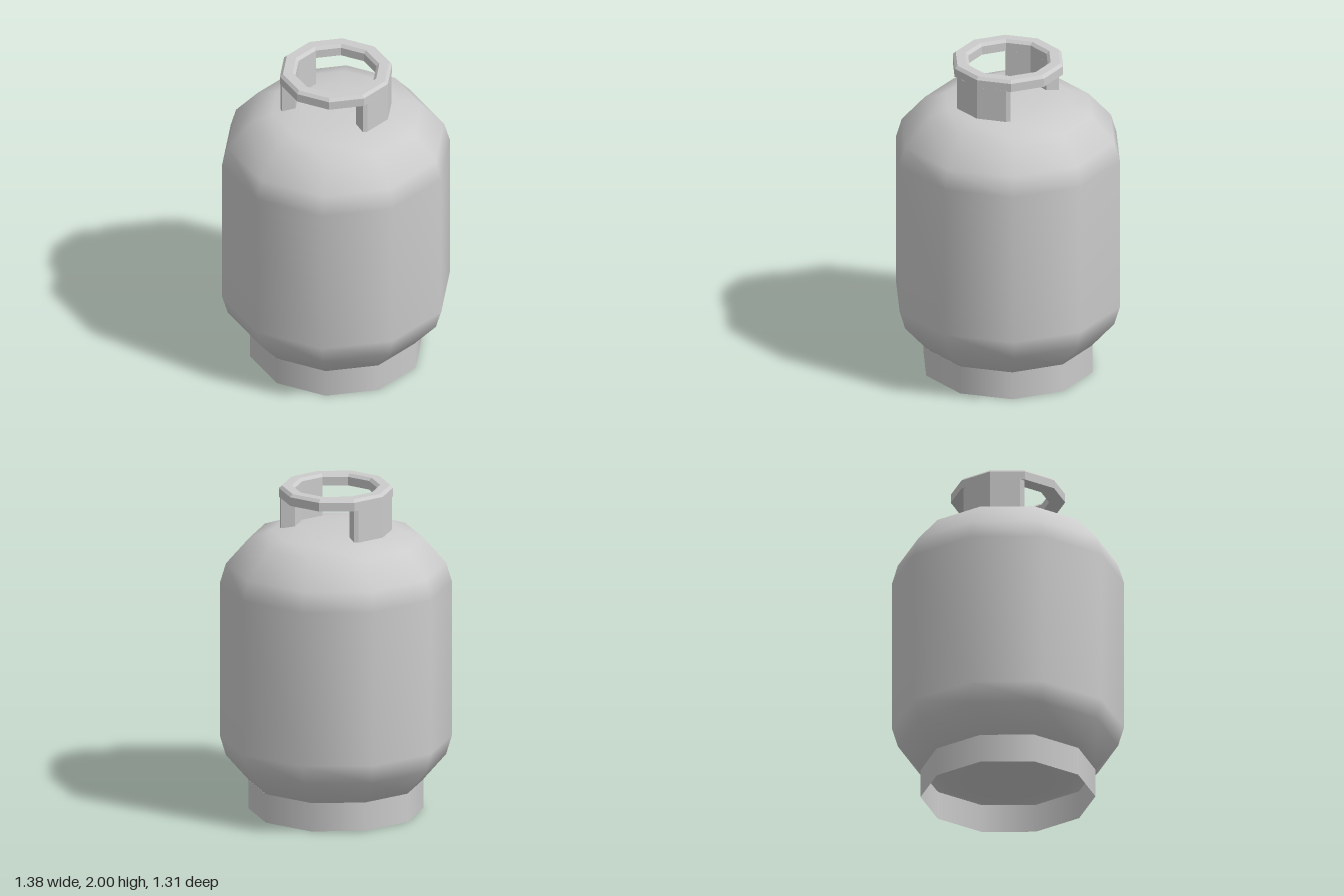
import * as THREE from 'three';

const SIDES = 10;
const smooth = new THREE.MeshStandardMaterial({ color: 0xcccccc });
const flat = new THREE.MeshStandardMaterial({ color: 0xcccccc, flatShading: true });
const open = new THREE.MeshStandardMaterial({ color: 0xcccccc, side: THREE.DoubleSide });

// Ten-sided turned part with corners on the x axis
function turned(name, profile, material) {
  const points = profile.map(([r, y]) => new THREE.Vector2(r, y));
  const geometry = new THREE.LatheGeometry(points, SIDES, Math.PI / 2);
  const mesh = new THREE.Mesh(geometry, material);
  mesh.name = name;
  return mesh;
}

export function createModel() {
  const group = new THREE.Group();
  group.name = 'gasCylinder';

  // Tank: one domed end, mirrored for the top and bottom
  const dome = [[0, 1.75], [0.21, 1.75], [0.385, 1.725], [0.515, 1.677], [0.655, 1.518], [0.69, 1.4]];
  const bottom = dome.map(([r, y]) => [r, 1.85 - y]);
  group.add(turned('tank', [...bottom, ...dome.slice().reverse()], smooth));

  // Open foot skirt
  group.add(turned('footRing', [[0.52, 0], [0.52, 0.176]], open));

  // Handle ring with chamfered upper edges
  group.add(turned('handleRing', [
    [0.245, 1.93], [0.34, 1.93], [0.34, 1.983], [0.322, 2],
    [0.263, 2], [0.245, 1.983], [0.245, 1.93],
  ], flat));

  // Two angled handle supports with chamfered outer ends
  const half = [[0.285, 0.172], [0.265, 0.191], [0.198, 0.144]];
  const outline = [
    [0.34, 0], ...half, [0.245, 0],
    ...half.slice().reverse().map(([x, z]) => [x, -z]),
  ];
  const shape = new THREE.Shape(outline.map(([x, z]) => new THREE.Vector2(x, z)));
  const support = new THREE.ExtrudeGeometry(shape, { depth: 0.22, bevelEnabled: false });
  support.rotateX(-Math.PI / 2).translate(0, 1.715, 0);
  for (const [name, turn] of [['leftHandleSupport', 0], ['rightHandleSupport', Math.PI]]) {
    const mesh = new THREE.Mesh(support, flat);
    mesh.name = name;
    mesh.rotation.y = turn;
    group.add(mesh);
  }
  return group;
}
